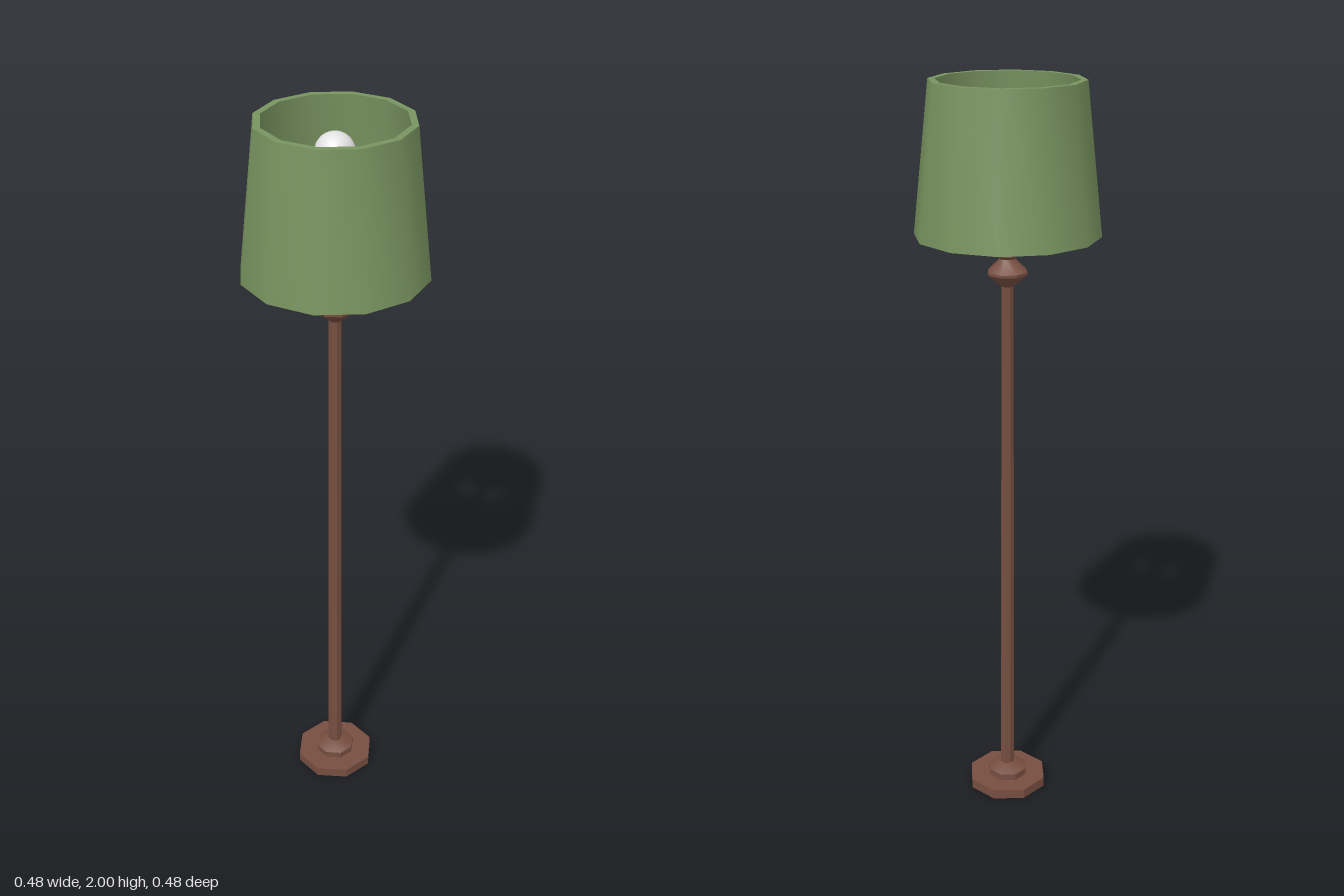
import * as THREE from 'three';
import { toCreasedNormals } from 'three/addons/utils/BufferGeometryUtils.js';

const material = (name, color) => {
  const m = new THREE.MeshStandardMaterial({ color });
  m.name = name;
  return m;
};

export function createModel() {
  const wood = material('brown wood', 0x764e40);
  const fabric = material('green fabric', 0x78935f);
  const metal = material('dark metal', 0x434547);
  const glass = material('white glass', 0xe2e2e2);

  const lamp = new THREE.Group();
  lamp.name = 'floorLamp';

  const add = (name, geometry, mat) => {
    const mesh = new THREE.Mesh(geometry, mat);
    mesh.name = name;
    lamp.add(mesh);
    return mesh;
  };
  // Turned part; eight-sided pieces stay faceted, twelve-sided ones read smooth
  const turned = (name, profile, sides, mat) => {
    const points = profile.map(([r, y]) => new THREE.Vector2(r, y));
    return add(name, toCreasedNormals(new THREE.LatheGeometry(points, sides), 0.6), mat);
  };

  // Foot: wide octagonal plate with a stepped, bevelled collar
  turned('basePlate', [[0, 0], [0.112, 0], [0.112, 0.027], [0, 0.027]], 8, wood);
  turned('baseCollar', [[0.056, 0.027], [0.056, 0.046], [0.022, 0.064], [0, 0.064]], 8, wood);

  // Slightly tapering pole
  turned('pole', [[0.0205, 0.05], [0.0165, 1.49]], 8, wood);

  // Turned knob and small bead above the pole
  turned('knob', [[0.016, 1.48], [0.054, 1.513], [0.054, 1.52], [0.02, 1.553], [0, 1.553]], 8, wood);
  turned('bead', [[0.018, 1.55], [0.027, 1.56], [0.027, 1.575], [0.016, 1.59], [0, 1.59]], 8, wood);

  // Thin stem carrying the bulb
  turned('stem', [[0.013, 1.58], [0.013, 1.89], [0, 1.89]], 8, wood);
  const bulb = add('bulb', new THREE.SphereGeometry(0.05, 24, 16), glass);
  bulb.position.y = 1.92;

  // Crossed rods holding the shade
  for (const [name, turn] of [['sideRod', 0], ['depthRod', Math.PI / 2]]) {
    const rod = add(name, new THREE.CylinderGeometry(0.011, 0.011, 0.4, 8), metal);
    rod.rotation.set(0, turn, Math.PI / 2);
    rod.position.y = 1.82;
  }

  // Hollow tapered shade: outer wall, top rim, inner wall, bottom rim
  turned('shade', [[0.24, 1.613], [0.198, 2], [0.18, 2], [0.222, 1.613], [0.24, 1.613]], 12, fabric);

  return lamp;
}
